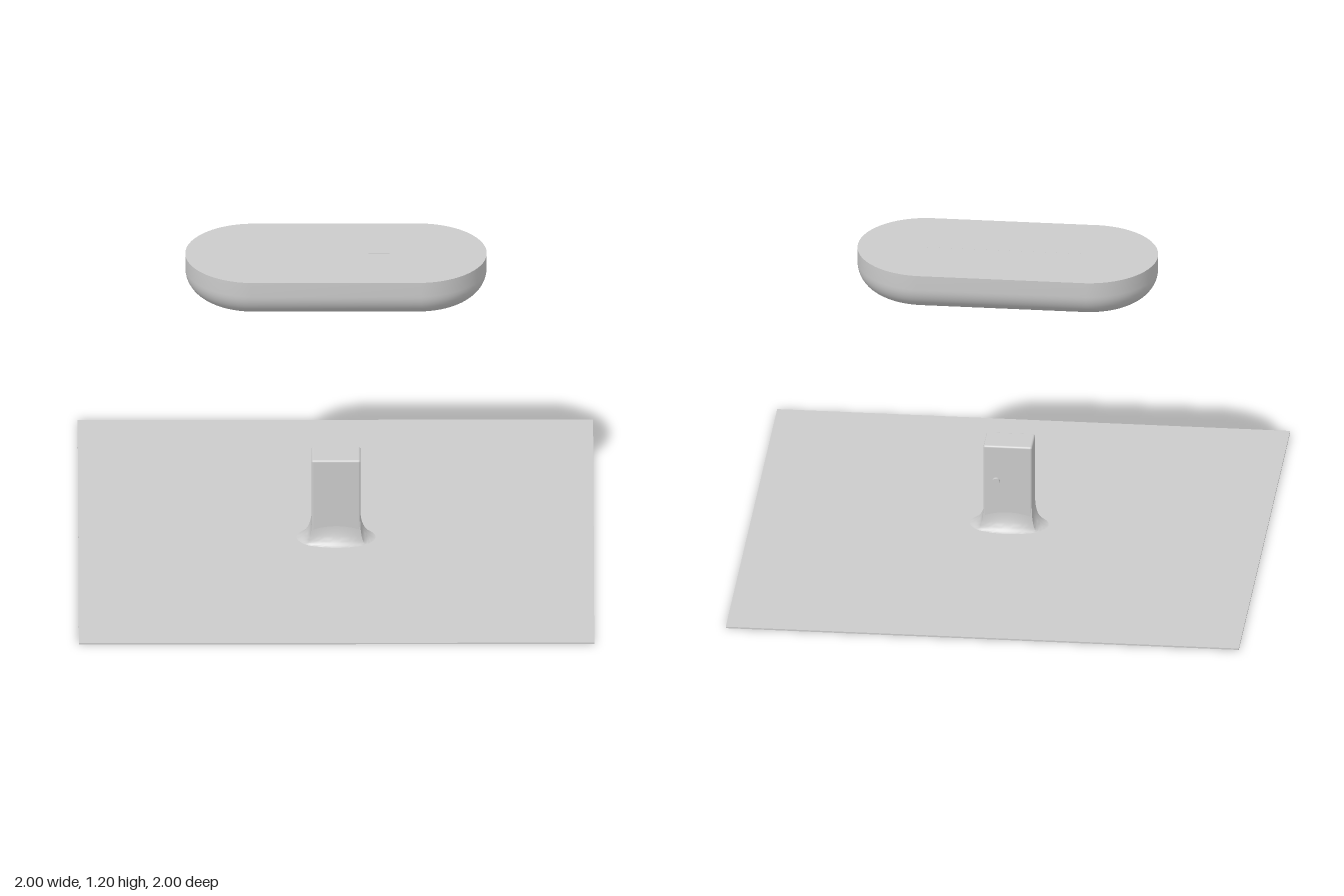
import * as THREE from 'three';
import { toCreasedNormals } from 'three/addons/utils/BufferGeometryUtils.js';
import { RoundedBoxGeometry } from 'three/addons/geometries/RoundedBoxGeometry.js';

const grey = new THREE.MeshStandardMaterial({ color: 0xcccccc });
const greyDouble = new THREE.MeshStandardMaterial({ color: 0xcccccc, side: THREE.DoubleSide });

// Changes every vertex of a geometry by a rule, then rebuilds the normals.
function reshape(geometry, rule, crease) {
  const p = geometry.attributes.position;
  const v = new THREE.Vector3();
  for (let i = 0; i < p.count; i++) {
    v.fromBufferAttribute(p, i);
    rule(v);
    p.setXYZ(i, v.x, v.y, v.z);
  }
  return toCreasedNormals(geometry, crease);
}

// Hanging head: a turned profile pulled apart along x into a stadium shape.
function headGeometry() {
  const outer = 0.267, slot = 0.07, bottom = 1.04, top = 1.2, round = 0.1;
  const straight = 0.318, segments = 64, tiny = 0.0001;
  const profile = [
    new THREE.Vector2(tiny, top - 0.02),
    new THREE.Vector2(slot, top - 0.02),
    new THREE.Vector2(slot, bottom),
  ];
  for (let i = 0; i <= 12; i++) {
    const a = (i / 12) * Math.PI / 2;
    profile.push(new THREE.Vector2(
      outer - round + round * Math.sin(a), bottom + round * (1 - Math.cos(a))));
  }
  profile.push(new THREE.Vector2(outer, top), new THREE.Vector2(tiny, top));
  const lathe = new THREE.LatheGeometry(profile, segments, Math.PI / segments);
  return reshape(lathe, (v) => { v.x += Math.sign(v.x) * straight; }, 0.6);
}

// Flared foot: blends from the post's rectangle to an ellipse on the ground.
function footGeometry(height) {
  const tube = new THREE.CylinderGeometry(1, 1, height, 64, 12, true);
  return reshape(tube, (v) => {
    const a = (0.5 - v.y / height) * Math.PI / 2;
    const spread = 1 - Math.cos(a);
    const m = Math.max(Math.abs(v.x), Math.abs(v.z));
    v.set(
      THREE.MathUtils.lerp((v.x / m) * 0.094, v.x * 0.167, spread),
      height * (1 - Math.sin(a)),
      THREE.MathUtils.lerp((v.z / m) * 0.064, v.z * 0.106, spread));
  }, 0.6);
}

export function createModel() {
  const model = new THREE.Group();
  const add = (name, geometry, x, y, z, material = grey) => {
    const mesh = new THREE.Mesh(geometry, material);
    mesh.name = name;
    mesh.position.set(x, y, z);
    model.add(mesh);
    return mesh;
  };

  add('groundPlate', new THREE.BoxGeometry(2, 0.006, 2), 0, 0.003, 0);

  // Post and its flared foot
  const postZ = 0.05;
  add('post', new RoundedBoxGeometry(0.19, 0.36, 0.13, 3, 0.008), 0, 0.185, postZ);
  add('flaredFoot', footGeometry(0.1), 0, 0.004, postZ, greyDouble);

  // Small knob on the back of the post
  const stem = add('knobStem', new THREE.CylinderGeometry(0.007, 0.007, 0.014, 20), 0.044, 0.22, -0.019);
  const head = add('knobHead', new THREE.CylinderGeometry(0.015, 0.015, 0.012, 24), 0.044, 0.22, -0.03);
  stem.rotation.x = head.rotation.x = Math.PI / 2;

  add('hangingHead', headGeometry(), 0, 0, -0.005);
  return model;
}
